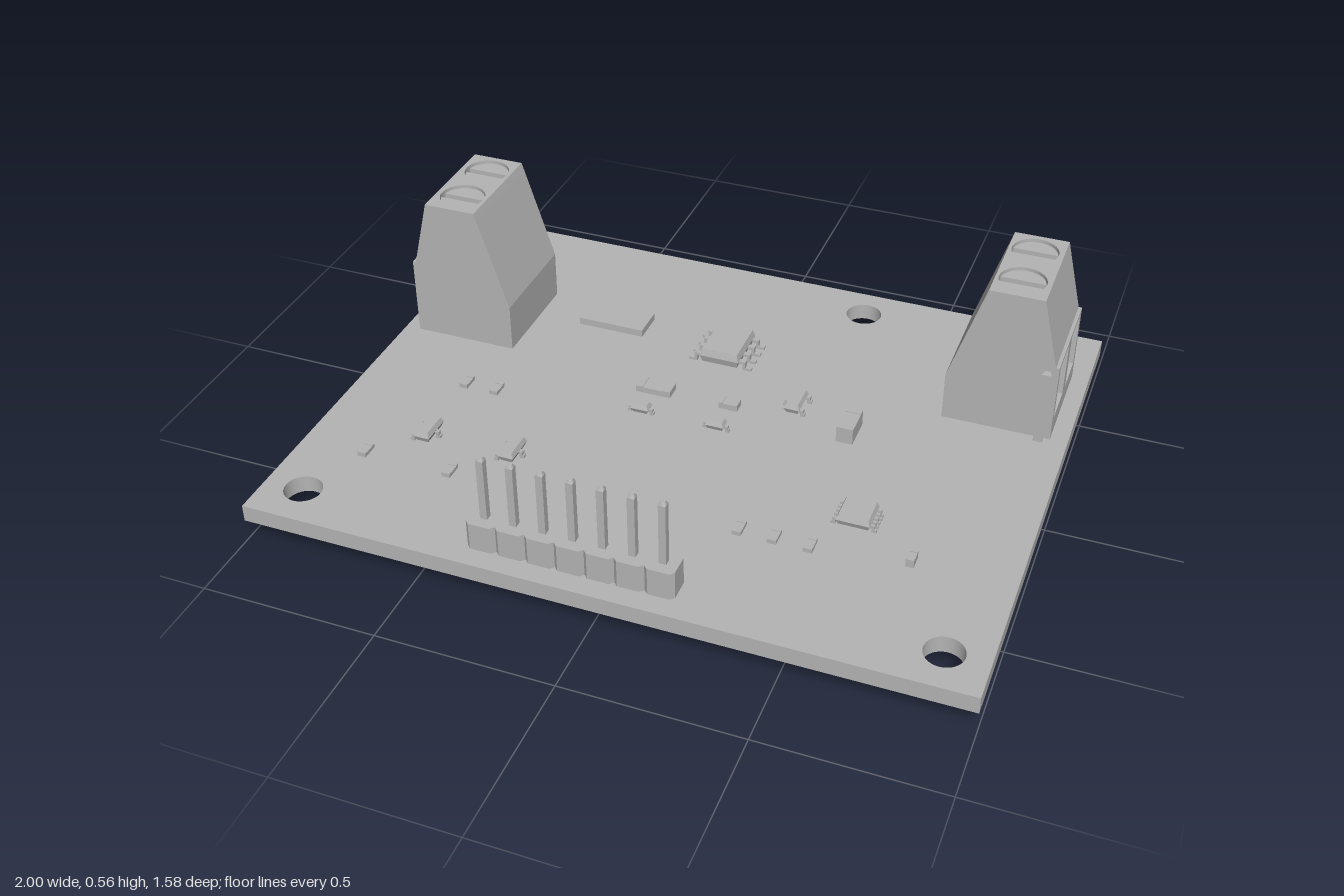
import * as THREE from 'three';

const grey = new THREE.MeshStandardMaterial({ color: 0xb4b4b4 });
grey.name = 'plain grey';
const TOP = 0.115; // upper surface of the board

function add(parent, name, geometry, x = 0, y = 0, z = 0) {
  const mesh = new THREE.Mesh(geometry, grey);
  mesh.name = name;
  mesh.position.set(x, y, z);
  parent.add(mesh);
  return mesh;
}

function group(parent, name, x = 0, y = 0, z = 0) {
  const g = new THREE.Group();
  g.name = name;
  g.position.set(x, y, z);
  parent.add(g);
  return g;
}

// box standing on y
const block = (parent, name, w, h, d, x, y, z) =>
  add(parent, name, new THREE.BoxGeometry(w, h, d), x, y + h / 2, z);

const polygon = (points) => new THREE.Shape(points.map(([x, y]) => new THREE.Vector2(x, y)));
const rect = (x0, y0, x1, y1) => polygon([[x0, y0], [x1, y0], [x1, y1], [x0, y1]]);
const extrude = (shape, depth) =>
  new THREE.ExtrudeGeometry(shape, { depth, bevelEnabled: false, curveSegments: 32 });

function circleHole(shape, x, y, r) {
  const hole = new THREE.Path();
  hole.absarc(x, y, r, 0, Math.PI * 2, true);
  shape.holes.push(hole);
}

// moulded chip body: widest at mid height, drafted above and below
function chipBody(w, h, d, draft) {
  let geo = new THREE.BoxGeometry(w, h, d, 1, 2, 1);
  const p = geo.attributes.position;
  for (let i = 0; i < p.count; i++) {
    if (Math.abs(p.getY(i)) < 1e-6) continue;
    p.setX(i, p.getX(i) - Math.sign(p.getX(i)) * draft);
    p.setZ(i, p.getZ(i) - Math.sign(p.getZ(i)) * draft);
  }
  geo = geo.toNonIndexed();
  geo.computeVertexNormals();
  return geo;
}

// bent lead running out along +x or -x
function lead(parent, x, z, side, width, reach, height) {
  block(parent, 'leadFoot', reach * 0.7, 0.008, width, x + side * reach * 0.75, 0, z);
  block(parent, 'leadLeg', 0.008, height, width, x + side * reach * 0.45, 0, z);
  block(parent, 'leadShoulder', reach * 0.6, 0.008, width, x + side * reach * 0.2, height - 0.008, z);
}

function chip(root, name, x, z, w, d, h, leftLeads, rightLeads, width, reach) {
  const g = group(root, name, x, TOP, z);
  add(g, 'chipBody', chipBody(w, h - 0.006, d, 0.006), 0, h / 2 + 0.003, 0);
  leftLeads.forEach((lz) => lead(g, -w / 2, lz, -1, width, reach, h * 0.55));
  rightLeads.forEach((lz) => lead(g, w / 2, lz, 1, width, reach, h * 0.55));
  return g;
}

// chip resistor or capacitor with end caps
function passive(root, x, z, w, h, d) {
  const g = group(root, 'passivePart', x, TOP, z);
  const alongX = w > d;
  const cap = Math.max(w, d) * 0.2;
  block(g, 'ceramicBody', alongX ? w - 2 * cap : w, h - 0.002, alongX ? d : d - 2 * cap, 0, 0, 0);
  for (const s of [-1, 1]) {
    if (alongX) block(g, 'endCap', cap, h, d, s * (w - cap) / 2, 0, 0);
    else block(g, 'endCap', w, h, cap, 0, 0, s * (d - cap) / 2);
  }
}

// flared wire entry between an outer and an inner rectangle
function funnel() {
  const ring = (x, hw, y0, y1) => [[x, y0, hw], [x, y0, -hw], [x, y1, -hw], [x, y1, hw]];
  const o = ring(0.155, 0.06, 0.175, 0.345);
  const n = ring(0.115, 0.0425, 0.195, 0.285);
  const pos = [];
  for (let i = 0; i < 4; i++) {
    const j = (i + 1) % 4;
    pos.push(...o[i], ...o[j], ...n[j], ...o[i], ...n[j], ...n[i]);
  }
  const geo = new THREE.BufferGeometry();
  geo.setAttribute('position', new THREE.Float32BufferAttribute(pos, 3));
  geo.computeVertexNormals();
  return geo;
}

// two-way screw terminal with its wire entries facing +x
function terminal(root, name, x, z) {
  const g = group(root, name, x, 0, z);
  const half = 0.1625, pitch = 0.08, deck = 0.535;
  const body = polygon([[-0.155, TOP], [0.055, TOP], [0.055, 0.355], [0.145, 0.355],
    [0.101, deck], [-0.068, deck], [-0.155, 0.26]]);
  add(g, 'terminalBody', extrude(body, half * 2), 0, 0, -half);

  // top slab with screw wells, its lower edge spread to follow the sloping sides
  const slab = rect(-0.06, -half, 0.095, half);
  for (const s of [-1, 1]) circleHole(slab, 0.015, s * pitch, 0.066);
  const slabGeo = extrude(slab, 0.025).rotateX(-Math.PI / 2);
  const p = slabGeo.attributes.position;
  for (let i = 0; i < p.count; i++) {
    if (p.getY(i) > 0.01) continue;
    if (p.getX(i) < -0.059) p.setX(i, -0.068);
    if (p.getX(i) > 0.094) p.setX(i, 0.101);
  }
  slabGeo.computeVertexNormals();
  add(g, 'terminalTop', slabGeo, 0, deck, 0);

  // front wall: wide openings outside, narrow ones behind
  const walls = [[0.115, 0.04, 0.06, 0.175, 0.345], [0.055, 0.06, 0.0425, 0.195, 0.285]];
  for (const [x0, depth, hw, y0, y1] of walls) {
    const wall = rect(-half, TOP, half, 0.355);
    for (const s of [-1, 1]) {
      const c = s * pitch;
      wall.holes.push(rect(c - hw, y0, c + hw, y1));
    }
    add(g, 'entryWall', extrude(wall, depth).rotateY(Math.PI / 2), x0, 0, 0);
  }

  // slotted screw heads, wire entries and solder pins
  const a = Math.asin(0.011 / 0.064);
  const segment = new THREE.Shape();
  segment.absarc(0, 0, 0.064, a, Math.PI - a, false);
  segment.closePath();
  for (const s of [-1, 1]) {
    for (const turn of [0, Math.PI]) {
      const head = add(g, 'screwHead', extrude(segment, 0.016).rotateX(-Math.PI / 2), 0.015, deck, s * pitch);
      head.rotation.y = turn;
    }
    add(g, 'wireEntry', funnel(), 0, 0, s * pitch);
    add(g, 'terminalPin', new THREE.CylinderGeometry(0.016, 0.016, 0.08, 16), 0.01, 0.04, s * pitch);
  }

  // dovetail joining rib
  const rib = polygon([[0.118, 0], [0.132, 0], [0.139, -0.022], [0.111, -0.022]]);
  add(g, 'joiningRib', extrude(rib, 0.225).rotateX(-Math.PI / 2), 0, TOP, half);
  return g;
}

export function createModel() {
  const root = new THREE.Group();
  root.name = 'circuitBoard';

  // board with four mounting holes
  const board = rect(-1, -0.79, 1, 0.79);
  for (const [x, z] of [[-0.885, -0.68], [0.287, -0.68], [-0.885, 0.67], [0.882, 0.67]]) {
    circleHole(board, x, -z, 0.053);
  }
  add(root, 'board', extrude(board, 0.05).rotateX(-Math.PI / 2), 0, 0.065, 0);

  // screw terminals on both sides
  terminal(root, 'leftTerminal', 0.795, -0.415);
  terminal(root, 'rightTerminal', -0.8, -0.292).rotation.y = Math.PI;

  // seven-way pin header
  const header = group(root, 'pinHeader', 0, 0, 0.69);
  const h = 0.041, c = 0.011;
  const cell = polygon([[-h, -h + c], [-h + c, -h], [h - c, -h], [h, -h + c],
    [h, h - c], [h - c, h], [-h + c, h], [-h, h - c]]);
  for (let i = 0; i < 7; i++) {
    const x = -0.326 + i * 0.082;
    add(header, 'headerCell', extrude(cell, 0.083).rotateX(-Math.PI / 2), x, TOP, 0);
    block(header, 'headerPin', 0.02, 0.355, 0.02, x, 0.028, 0);
    for (const [y, flip] of [[0.387, 0], [0.024, Math.PI]]) {
      const tip = new THREE.CylinderGeometry(0.008, 0.01414, 0.008, 4).rotateY(Math.PI / 4);
      add(header, 'pinTip', tip, x, y, 0).rotation.x = flip;
    }
  }

  // chips with leads
  const four = [-0.06, -0.02, 0.02, 0.06];
  chip(root, 'eightLeadChip', -0.035, -0.335, 0.12, 0.155, 0.05, four, four, 0.015, 0.034);
  const five = [-0.034, -0.017, 0, 0.017, 0.034];
  chip(root, 'tenLeadChip', 0.545, 0.268, 0.094, 0.094, 0.037, five, five, 0.008, 0.014);
  for (const x of [-0.68, -0.423]) {
    chip(root, 'transistor', x, 0.335, 0.046, 0.092, 0.036, [-0.033, 0.033], [0], 0.014, 0.013);
  }
  chip(root, 'transistor', 0.24, -0.15, 0.046, 0.092, 0.036, [0], [-0.033, 0.033], 0.014, 0.013);
  for (const x of [-0.165, 0.062]) {
    chip(root, 'diode', x, 0.028, 0.054, 0.036, 0.033, [0], [0], 0.012, 0.011);
  }

  // crystal and tall capacitor
  block(root, 'crystal', 0.205, 0.022, 0.1, -0.408, TOP, -0.375);
  passive(root, 0.417, -0.085, 0.048, 0.05, 0.1);

  // small passives
  passive(root, -0.165, -0.085, 0.105, 0.02, 0.048);
  passive(root, 0.062, -0.085, 0.056, 0.02, 0.036);
  const small = [[-0.692, 0.077], [-0.596, 0.077], [-0.808, 0.465], [-0.55, 0.465],
    [0.268, 0.416], [0.365, 0.416], [0.462, 0.416]];
  for (const [x, z] of small) passive(root, x, z, 0.025, 0.013, 0.05);
  passive(root, 0.723, 0.382, 0.022, 0.024, 0.044);
  return root;
}
